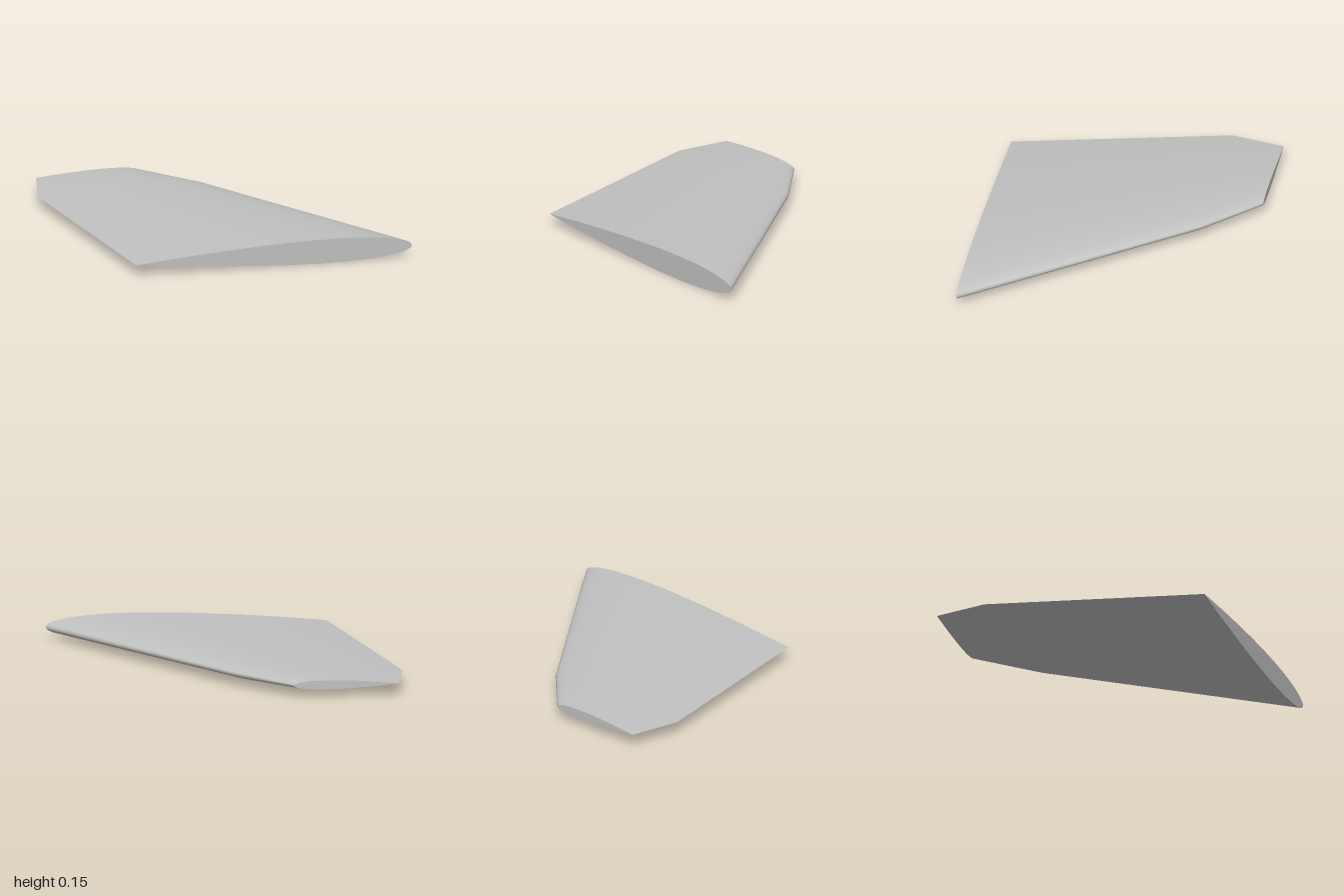
import * as THREE from 'three';

const STEPS = 20; // points along each surface
const THICK = 0.09; // thickness as a share of chord
const MID_Y = 0.076;

// Spanwise stations: root, kink, tip
const stations = [
  { z: 0.795, trail: -0.68, lead: 0.995 },
  { z: -0.48, trail: -1, lead: 0.005 },
  { z: -0.8, trail: -0.945, lead: -0.32 },
];

// Symmetric airfoil half thickness at t (0 = leading edge, 1 = trailing edge)
const halfThickness = (t) =>
  5 * THICK * (0.2969 * Math.sqrt(t) - 0.126 * t - 0.3516 * t ** 2 + 0.2843 * t ** 3 - 0.1036 * t ** 4);

// Outline from the trailing edge over the top to the nose and back underneath
function section({ trail, lead }) {
  const chord = lead - trail;
  const points = [];
  for (let j = 0; j <= 2 * STEPS; j++) {
    const t = Math.min(1, Math.max(0, (1 + Math.cos((Math.PI * j) / STEPS)) / 2));
    const side = j <= STEPS ? 1 : -1;
    points.push(new THREE.Vector2(lead - t * chord, MID_Y + side * chord * halfThickness(t)));
  }
  return points;
}

// Smooth skin lofted through the stations, sharp at the trailing edge
function skinGeometry() {
  const positions = [];
  const index = [];
  const row = 2 * STEPS + 1;
  stations.forEach((s, i) => {
    section(s).forEach((p, j) => {
      positions.push(p.x, p.y, s.z);
      if (i < stations.length - 1 && j < row - 1) {
        const a = i * row + j;
        index.push(a, a + 1, a + row, a + 1, a + row + 1, a + row);
      }
    });
  });
  const geometry = new THREE.BufferGeometry();
  geometry.setAttribute('position', new THREE.Float32BufferAttribute(positions, 3));
  geometry.setIndex(index);
  geometry.computeVertexNormals();
  return geometry;
}

// Flat end cap facing +z or, when mirrored, -z
function capGeometry(station, facesBack) {
  const sign = facesBack ? -1 : 1;
  const outline = section(station).slice(0, -1).map((p) => new THREE.Vector2(sign * p.x, p.y));
  const geometry = new THREE.ShapeGeometry(new THREE.Shape(outline));
  if (facesBack) geometry.rotateY(Math.PI);
  return geometry.translate(0, 0, station.z);
}

export function createModel() {
  const grey = new THREE.MeshStandardMaterial({ color: 0xc0c0c0 });
  grey.name = 'light grey';
  const group = new THREE.Group();
  group.name = 'sweptFin';

  const add = (name, geometry) => {
    const mesh = new THREE.Mesh(geometry, grey);
    mesh.name = name;
    group.add(mesh);
  };
  add('finSkin', skinGeometry());
  add('rootCap', capGeometry(stations[0], false));
  add('tipCap', capGeometry(stations[2], true));
  return group;
}
